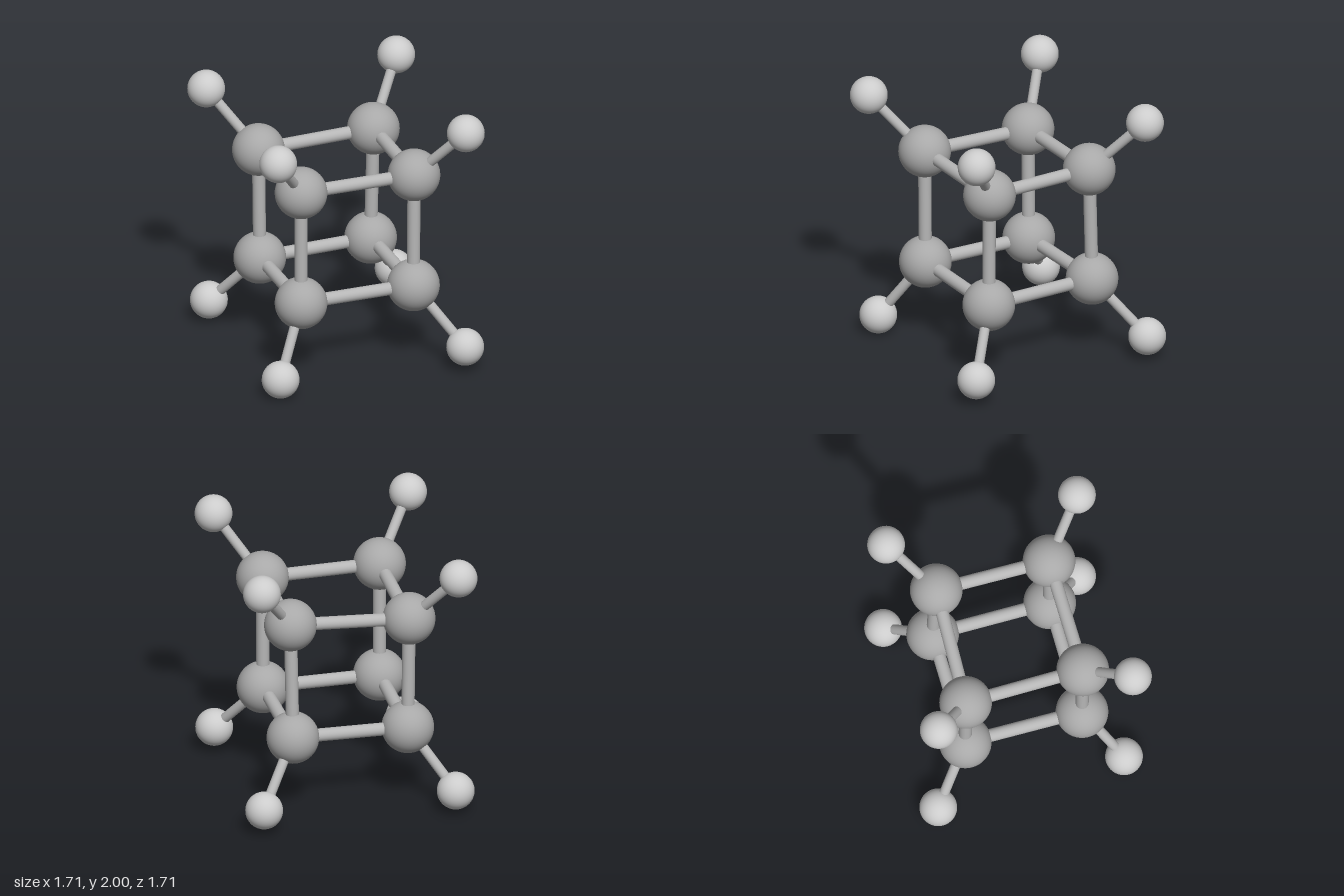
import * as THREE from 'three';

// Corner positions of the cage and the tip of each outward bond.
// Corner index bits: 1 = +x, 2 = +y, 4 = +z
const CORNERS = [
  { core: [-0.42, 0.575, -0.435], tip: [-0.70, 0.167, -0.715] },
  { core: [0.425, 0.59, -0.435], tip: [0.71, 0.178, -0.72] },
  { core: [-0.43, 1.425, -0.435], tip: [-0.72, 1.83, -0.717] },
  { core: [0.435, 1.46, -0.405], tip: [0.72, 1.865, -0.695] },
  { core: [-0.435, 0.597, 0.425], tip: [-0.683, 0.14, 0.665] },
  { core: [0.42, 0.597, 0.43], tip: [0.705, 0.187, 0.715] },
  { core: [-0.437, 1.465, 0.43], tip: [-0.722, 1.865, 0.72] },
  { core: [0.425, 1.46, 0.427], tip: [0.71, 1.865, 0.715] },
];

const CORE_RADIUS = 0.188;
const TIP_RADIUS = 0.135;
const CAGE_BOND_RADIUS = 0.047;
const TIP_BOND_RADIUS = 0.036;

export function createModel() {
  const model = new THREE.Group();
  model.name = 'cubicMolecule';

  const coreMaterial = new THREE.MeshStandardMaterial({ color: 0xa8a8a8 });
  const bondMaterial = new THREE.MeshStandardMaterial({ color: 0xb6b6b6 });
  const tipMaterial = new THREE.MeshStandardMaterial({ color: 0xcccccc });

  const coreGeometry = new THREE.SphereGeometry(CORE_RADIUS, 48, 32);
  const tipGeometry = new THREE.SphereGeometry(TIP_RADIUS, 40, 28);

  const addAtom = (name, geometry, material, position) => {
    const atom = new THREE.Mesh(geometry, material);
    atom.name = name;
    atom.position.copy(position);
    model.add(atom);
  };

  // Rod between two atom centres
  const addBond = (name, a, b, radius) => {
    const direction = b.clone().sub(a);
    const rod = new THREE.CylinderGeometry(radius, radius, direction.length(), 24, 1, false);
    const bond = new THREE.Mesh(rod, bondMaterial);
    bond.name = name;
    bond.position.copy(a).lerp(b, 0.5);
    bond.quaternion.setFromUnitVectors(new THREE.Vector3(0, 1, 0), direction.normalize());
    model.add(bond);
  };

  const cores = CORNERS.map((c) => new THREE.Vector3(...c.core));
  const tips = CORNERS.map((c) => new THREE.Vector3(...c.tip));

  cores.forEach((core, i) => {
    // Large corner atom, small outer atom and the thin bond joining them
    addAtom('cornerAtom', coreGeometry, coreMaterial, core);
    addAtom('outerAtom', tipGeometry, tipMaterial, tips[i]);
    addBond('outerBond', core, tips[i], TIP_BOND_RADIUS);

    // Cage edges: join to the neighbour one bit higher
    for (const bit of [1, 2, 4]) {
      if (!(i & bit)) addBond('cageBond', core, cores[i | bit], CAGE_BOND_RADIUS);
    }
  });

  return model;
}
